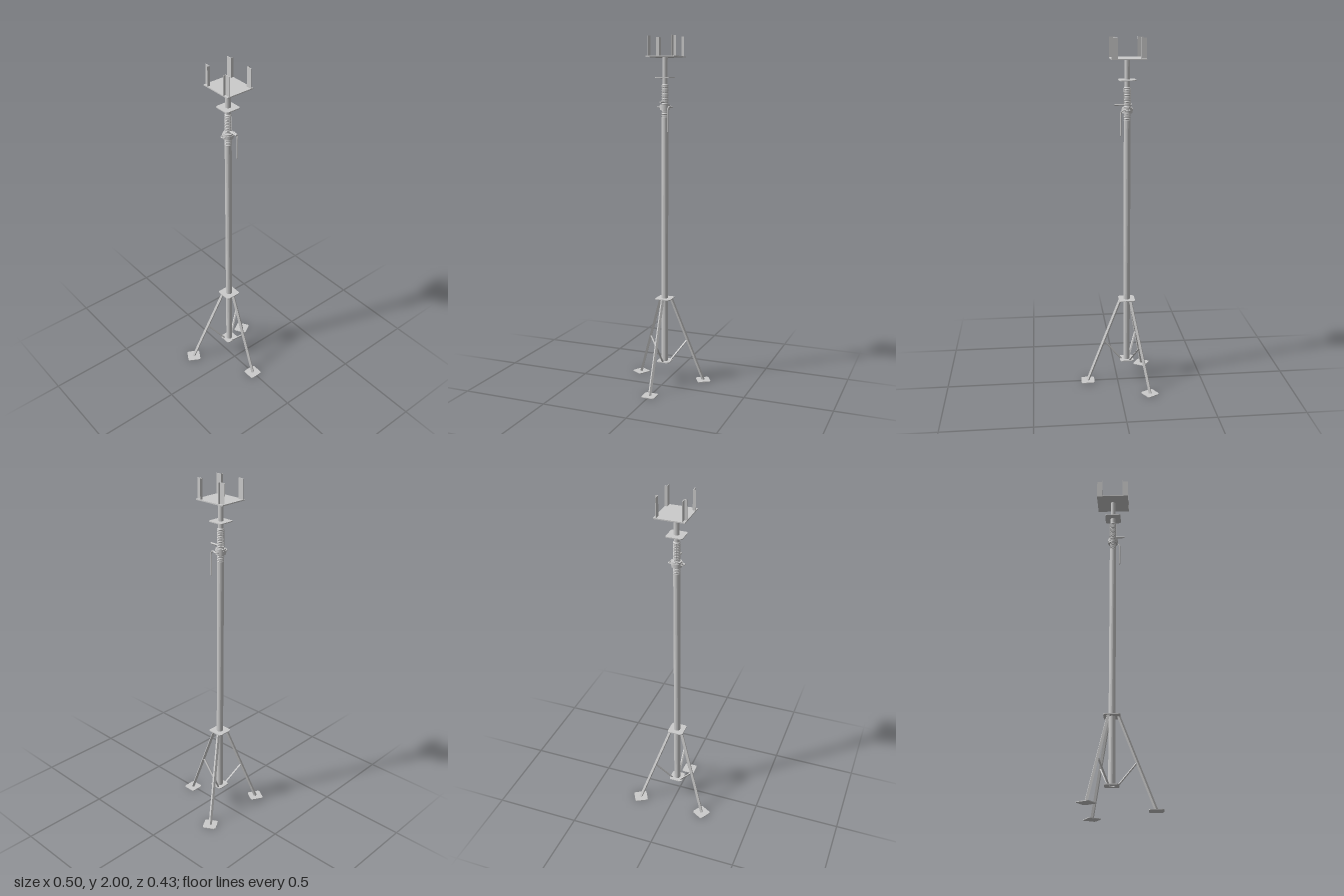
import * as THREE from 'three';

const AXIS_Z = -0.054; // the post stands behind the middle of the footprint
const material = new THREE.MeshStandardMaterial({ color: 0xcccccc, side: THREE.DoubleSide });
const flat = new THREE.MeshStandardMaterial({ color: 0xcccccc, flatShading: true, side: THREE.DoubleSide });

function add(parent, name, geometry, x = 0, y = 0, z = 0, mat = material) {
  const mesh = new THREE.Mesh(geometry, mat);
  mesh.name = name;
  mesh.position.set(x, y, z);
  parent.add(mesh);
  return mesh;
}

// Horizontal plate with rounded corners, its underside at y = 0
function plateGeometry(w, d, corner, thick, hole = 0) {
  const a = w / 2, b = d / 2, s = new THREE.Shape();
  s.absarc(a - corner, b - corner, corner, 0, Math.PI / 2);
  s.absarc(-a + corner, b - corner, corner, Math.PI / 2, Math.PI);
  s.absarc(-a + corner, -b + corner, corner, Math.PI, Math.PI * 1.5);
  s.absarc(a - corner, -b + corner, corner, Math.PI * 1.5, Math.PI * 2);
  if (hole) s.holes.push(new THREE.Path().absarc(0, 0, hole, 0, Math.PI * 2, true));
  const g = new THREE.ExtrudeGeometry(s, { depth: thick, bevelEnabled: false, curveSegments: 6 });
  return g.rotateX(-Math.PI / 2);
}

// Square bar in the yz plane, turned on edge, with both ends cut level
function barGeometry(r0, y0, r1, y1, half) {
  const length = y1 - y0;
  const g = new THREE.CylinderGeometry(half, half, length, 4);
  const p = g.attributes.position;
  for (let i = 0; i < p.count; i++) {
    const t = p.getY(i) / length + 0.5;
    p.setY(i, y0 + t * length);
    p.setZ(i, p.getZ(i) + r0 + (r1 - r0) * t);
  }
  g.computeVertexNormals();
  return g;
}

// Open tube with a wall, turned about the post axis
function tubeGeometry(outer, inner, y0, y1) {
  const s = new THREE.Shape().absarc(0, 0, outer, 0, Math.PI * 2);
  s.holes.push(new THREE.Path().absarc(0, 0, inner, 0, Math.PI * 2, true));
  return new THREE.ExtrudeGeometry(s, { depth: y1 - y0, bevelEnabled: false, curveSegments: 16 })
    .rotateX(-Math.PI / 2).translate(0, y0, 0);
}

function createTripod() {
  const tripod = new THREE.Group();
  tripod.name = 'tripod';
  for (let i = 0; i < 3; i++) {
    const leg = new THREE.Group();
    leg.name = 'leg' + (i + 1);
    leg.rotation.y = i * Math.PI * 2 / 3;
    add(leg, 'footPlate', plateGeometry(0.077, 0.077, 0.011, 0.004), 0, 0, 0.231);
    add(leg, 'legBar', barGeometry(0.231, 0.003, 0.037, 0.511, 0.0102), 0, 0, 0, flat);
    add(leg, 'brace', barGeometry(0.033, 0.135, 0.134, 0.256, 0.0068), 0, 0, 0, flat);
    tripod.add(leg);
  }
  add(tripod, 'upperCollarPlate', plateGeometry(0.092, 0.092, 0.012, 0.005, 0.0185), 0, 0.51, 0);
  add(tripod, 'lowerCollarPlate', plateGeometry(0.078, 0.078, 0.012, 0.005, 0.0185), 0, 0.131, 0);
  return tripod;
}

function createAdjuster() {
  const adjuster = new THREE.Group();
  adjuster.name = 'adjuster';
  // Threaded sleeve
  const pts = [[0.0145, 1.55]];
  const turns = 20, pitch = 0.185 / turns;
  for (let i = 0; i < turns; i++) {
    const y = 1.552 + i * pitch;
    pts.push([0.0168, y], [0.0192, y + pitch * 0.35], [0.0192, y + pitch * 0.6], [0.0168, y + pitch * 0.95]);
  }
  pts.push([0.0145, 1.739]);
  add(adjuster, 'threadedSleeve',
    new THREE.LatheGeometry(pts.map(([r, y]) => new THREE.Vector2(r, y)), 24));

  // Slots in the sleeve, drawn as raised frames on the front and back
  const slot = new THREE.Shape();
  slot.moveTo(-0.007, 0).lineTo(0.007, 0).lineTo(0.007, 0.085).lineTo(-0.007, 0.085).closePath();
  const opening = new THREE.Path();
  opening.moveTo(-0.005, 0.003).lineTo(-0.005, 0.082).lineTo(0.005, 0.082).lineTo(0.005, 0.003).closePath();
  slot.holes.push(opening);
  const frame = new THREE.ExtrudeGeometry(slot, { depth: 0.003, bevelEnabled: false });
  for (const turn of [0, Math.PI]) {
    const m = add(adjuster, 'slotFrame', frame, 0, 1.645, 0);
    m.rotation.y = turn;
    m.position.z = Math.cos(turn) * 0.0172;
  }

  // Nut with two lugs
  add(adjuster, 'nut', tubeGeometry(0.028, 0.0165, 1.596, 1.628));
  add(adjuster, 'nutFlange', tubeGeometry(0.031, 0.0165, 1.607, 1.62));
  for (const side of [-1, 1]) {
    const lug = add(adjuster, 'lug', new THREE.TorusGeometry(0.012, 0.0035, 8, 20), side * 0.031, 1.613, 0);
    lug.rotation.x = Math.PI / 2;
  }

  // Locking pin through the slots, and the hanging handle
  add(adjuster, 'lockingPin', new THREE.CylinderGeometry(0.005, 0.005, 0.095, 14).rotateX(Math.PI / 2), 0, 1.641, 0.022);
  const path = new THREE.CatmullRomCurve3([
    [0.036, 1.613, 0.004], [0.035, 1.615, 0.025], [0.032, 1.606, 0.036],
    [0.031, 1.58, 0.038], [0.031, 1.53, 0.038], [0.031, 1.478, 0.038],
  ].map(p => new THREE.Vector3(...p)));
  add(adjuster, 'handle', new THREE.TubeGeometry(path, 30, 0.0045, 10));
  add(adjuster, 'handleEnd', new THREE.SphereGeometry(0.0045, 10, 8), 0.031, 1.478, 0.038);
  return adjuster;
}

function createHead() {
  const head = new THREE.Group();
  head.name = 'forkHead';
  const w = 0.167, d = 0.188, legX = 0.016, legZ = 0.032, t = 0.003;
  head.position.set(0.0045, 0, -0.001);
  add(head, 'headPlate', new THREE.BoxGeometry(w, 0.006, d), 0, 1.889, 0);
  // Corner angles, their bends pointing to the middle
  for (const sx of [-1, 1]) for (const sz of [-1, 1]) {
    const x = sx * (w / 2 - legX), z = sz * (d / 2 - legZ);
    add(head, 'forkSide', new THREE.BoxGeometry(t, 0.11, legZ), x + sx * t / 2, 1.945, z + sz * legZ / 2);
    add(head, 'forkFace', new THREE.BoxGeometry(legX, 0.11, t), x + sx * legX / 2, 1.945, z + sz * t / 2);
  }
  return head;
}

export function createModel() {
  const model = new THREE.Group();
  model.name = 'tripodProp';
  const prop = new THREE.Group();
  prop.name = 'prop';
  prop.position.z = AXIS_Z;
  model.add(prop);

  prop.add(createTripod());
  add(prop, 'outerTube', tubeGeometry(0.0188, 0.0155, 0.13, 1.555));
  add(prop, 'innerTube', tubeGeometry(0.0148, 0.012, 1.3, 1.888));
  prop.add(createAdjuster());
  add(prop, 'stopPlate', plateGeometry(0.092, 0.092, 0.012, 0.005, 0.0145), 0, 1.772, 0);
  prop.add(createHead());
  return model;
}
